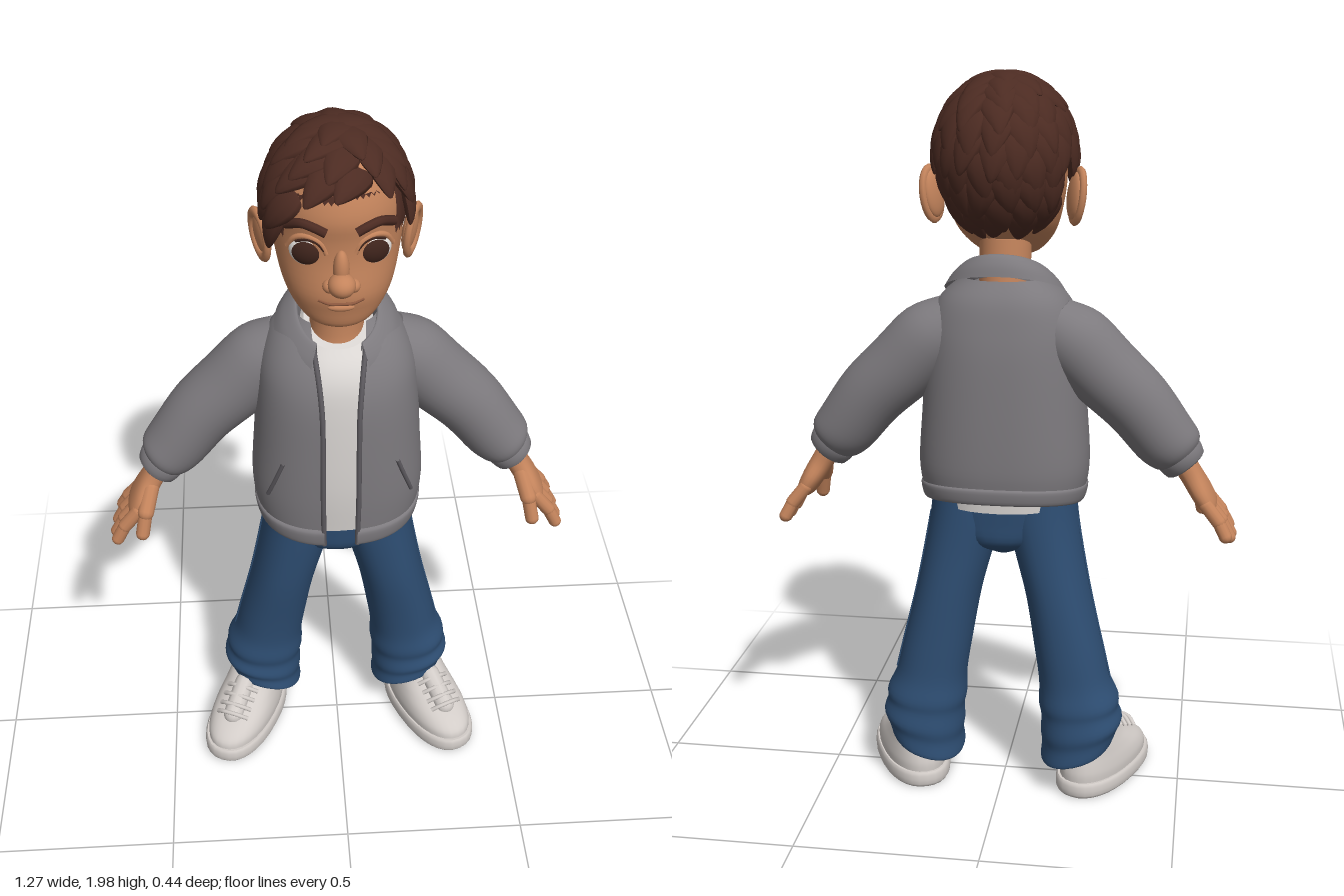
import * as THREE from 'three';
import { mergeGeometries, mergeVertices } from 'three/addons/utils/BufferGeometryUtils.js';

const V = (x, y, z) => new THREE.Vector3(x, y, z);
const paint = (name, color, side = THREE.FrontSide) => {
  const m = new THREE.MeshStandardMaterial({ color, side });
  m.name = name;
  return m;
};

// Smooth blend through cross-sections: [x, y, z, halfWidth, halfDepth, tilt, slope, gap]
function smooth(list, steps) {
  const s = list.map(r => Array.from({ length: 8 }, (_, i) => r[i] || 0));
  const out = [];
  for (let k = 0; k < s.length - 1; k++) {
    const p = s[Math.max(k - 1, 0)], a = s[k], b = s[k + 1], q = s[Math.min(k + 2, s.length - 1)];
    for (let j = 0; j < steps; j++) {
      const t = j / steps;
      out.push(a.map((v, i) => v + 0.5 * t * (b[i] - p[i] + t * (2 * p[i] - 5 * v + 4 * b[i] - q[i]
        + t * (3 * (v - b[i]) + q[i] - p[i])))));
    }
  }
  out.push(s[s.length - 1]);
  return out;
}

// Skin over cross-sections listed bottom to top; a gap leaves the front open
function loft(list, { n = 2, seg = 32, steps = 4 } = {}) {
  const secs = smooth(list, steps), open = secs[0][7] > 0, cols = open ? seg + 1 : seg;
  const pos = [], idx = [];
  const ring = ([x, y, z, a, b, tilt, slope, gap]) => {
    const g = open ? Math.asin(Math.min(0.95, Math.pow(gap / a, n / 2))) : 0;
    for (let j = 0; j < cols; j++) {
      const th = g + (j / seg) * (2 * Math.PI - 2 * g), s = Math.sin(th), c = Math.cos(th);
      const u = a * Math.sign(s) * Math.pow(Math.abs(s), 2 / n);
      const w = b * Math.sign(c) * Math.pow(Math.abs(c), 2 / n);
      pos.push(x + u * Math.cos(tilt), y + u * Math.sin(tilt) + slope * c, z + w);
    }
  };
  secs.forEach(ring);
  for (let k = 0; k < secs.length - 1; k++) for (let j = 0; j < seg; j++) {
    const a = k * cols + j, b = k * cols + (j + 1) % cols;
    idx.push(a, b, b + cols, a, b + cols, a + cols);
  }
  if (!open) [secs[0], secs[secs.length - 1]].forEach((s, top) => {
    const base = pos.length / 3;
    ring(s);
    pos.push(s[0], s[1], s[2]);
    for (let j = 0; j < seg; j++) {
      const a = base + j, b = base + (j + 1) % seg;
      top ? idx.push(a, b, base + seg) : idx.push(b, a, base + seg);
    }
  });
  const geo = new THREE.BufferGeometry();
  geo.setAttribute('position', new THREE.Float32BufferAttribute(pos, 3));
  geo.setIndex(idx);
  geo.computeVertexNormals();
  return geo;
}

const tube = (pts, r, seg = 16) =>
  new THREE.TubeGeometry(new THREE.CatmullRomCurve3(pts.map(p => V(...p))), seg, r, 8);
const ball = (x, y, z, rx, ry, rz) => new THREE.SphereGeometry(1, 24, 16).scale(rx, ry, rz).translate(x, y, z);
function capsule(p, q, r) {
  const a = V(...p), d = V(...q).sub(a);
  return new THREE.CapsuleGeometry(r, d.length(), 6, 12)
    .applyQuaternion(new THREE.Quaternion().setFromUnitVectors(V(0, 1, 0), d.clone().normalize()))
    .translate(...a.addScaledVector(d, 0.5).toArray());
}
function mirror(geo) {
  const g = geo.index ? geo.clone() : mergeVertices(geo);
  g.scale(-1, 1, 1);
  const i = g.index.array;
  for (let k = 0; k < i.length; k += 3) [i[k], i[k + 1]] = [i[k + 1], i[k]];
  return g;
}

// Hair: a cap with overlapping pointed locks
const HAIR_Y = 1.765, HAIR_Z = -0.01;
function hairline(phi) {
  const d = Math.abs(phi) * 180 / Math.PI;
  if (d < 52) return phi > 0 ? 1.87 : 1.86;
  if (d < 88) return 1.75;
  return d < 108 ? 1.775 : 1.595;
}
function hairGeometry() {
  const cap = new THREE.SphereGeometry(1, 64, 24), p = cap.attributes.position, uv = cap.attributes.uv;
  for (let i = 0; i < p.count; i++) {
    const a = uv.getX(i) * 2 * Math.PI, x = -Math.cos(a), z = Math.sin(a);
    const limit = Math.acos((hairline(Math.atan2(x, z)) - 0.02 - HAIR_Y) / 0.2);
    const t = (1 - uv.getY(i)) * limit;
    p.setXYZ(i, 0.17 * x * Math.sin(t), HAIR_Y + 0.2 * Math.cos(t), HAIR_Z + 0.187 * z * Math.sin(t));
  }
  cap.computeVertexNormals();
  const lock = new THREE.SphereGeometry(1, 10, 10), q = lock.attributes.position;
  for (let i = 0; i < q.count; i++) {
    const x = q.getX(i), y = q.getY(i), z = q.getZ(i);
    q.setXYZ(i, x * (0.8 + 0.4 * y) * 0.052, y * 0.072, z * (0.85 + 0.2 * y) * 0.02 - 0.01 * y * y - 0.007 * y);
  }
  lock.computeVertexNormals();
  let seed = 7;
  const rnd = () => (seed = (seed * 16807) % 2147483647) / 2147483647 - 0.5;
  const parts = [cap];
  for (let row = 0; row < 10; row++) {
    const t0 = 0.16 + row * 0.25, count = Math.max(4, Math.round(17 * Math.sin(t0)));
    for (let k = 0; k < count; k++) {
      let phi = (k + (row % 2) / 2 + rnd() * 0.3) / count * 2 * Math.PI;
      if (phi > Math.PI) phi -= 2 * Math.PI;
      const t = t0 + rnd() * 0.08, s = Math.sin(t), c = Math.cos(t), sp = Math.sin(phi), cp = Math.cos(phi);
      const at = V(0.176 * s * sp, HAIR_Y + 0.203 * c, HAIR_Z + 0.193 * s * cp);
      if (at.y < hairline(phi)) continue;
      const nrm = V(s * sp / 0.176, c / 0.203, s * cp / 0.193).normalize();
      const front = Math.max(0, cp) * s;
      const up = V(-0.176 * c * sp, 0.203 * s, -0.193 * c * cp).normalize();
      up.applyAxisAngle(nrm, -0.75 * front + rnd() * 0.5);
      // the fringe stands away from the forehead
      up.addScaledVector(nrm, -0.22 * front - 0.05 + rnd() * 0.12).normalize();
      const side = up.clone().cross(nrm).normalize();
      const m = new THREE.Matrix4().makeBasis(side, up, side.clone().cross(up)).setPosition(at);
      parts.push(lock.clone().applyMatrix4(m));
    }
  }
  return mergeGeometries(parts);
}

export function createModel() {
  const root = new THREE.Group();
  root.name = 'boy';
  const skin = paint('skin', 0xc4845c), hair = paint('hair brown', 0x4c2b22);
  const grey = paint('jacket grey', 0x7d7a7e, THREE.DoubleSide), trim = paint('trim grey', 0x5e5b60);
  const white = paint('shirt white', 0xd9d5d2), denim = paint('denim blue', 0x2e4e73);
  const shoe = paint('shoe white', 0xd2ccc8), eyeWhite = paint('eye white', 0xe6e2de);
  const iris = paint('iris brown', 0x3f241c), lip = paint('lip brown', 0x8f5a40);
  const add = (name, geo, mat) => {
    const m = new THREE.Mesh(geo, mat);
    m.name = name;
    root.add(m);
  };
  const pair = (name, geo, mat) => {
    add('left ' + name, geo, mat);
    add('right ' + name, mirror(geo), mat);
  };

  // Head and neck
  add('head', loft([[0, 1.495, .1, .035, .035], [0, 1.51, .092, .078, .062], [0, 1.55, .06, .116, .105],
    [0, 1.6, .03, .14, .145], [0, 1.68, 0, .158, .165], [0, 1.74, -.005, .162, .17], [0, 1.8, -.005, .162, .176],
    [0, 1.87, -.01, .148, .16], [0, 1.93, -.01, .11, .12], [0, 1.96, -.01, .03, .03]], { seg: 48 }), skin);
  add('neck', loft([[0, 1.36, -.015, .085, .095], [0, 1.42, -.01, .07, .075], [0, 1.56, 0, .068, .07]]), skin);
  add('nose', mergeGeometries([ball(0, 1.642, .184, .034, .03, .036), ball(0, 1.675, .165, .02, .05, .024),
    ball(.028, 1.634, .172, .018, .017, .02), ball(-.028, 1.634, .172, .018, .017, .02)]), skin);
  add('mouth', tube([[-.055, 1.59, .161], [-.028, 1.583, .171], [0, 1.584, .175], [.028, 1.583, .171],
    [.055, 1.59, .161]], .004), lip);
  add('lower lip', ball(0, 1.57, .164, .034, .011, .012), skin);
  add('hair', hairGeometry(), hair);

  // Ears
  const ear = mergeGeometries([ball(0, 0, 0, .016, .062, .038),
    new THREE.TorusGeometry(.04, .01, 8, 24).rotateY(Math.PI / 2).scale(1, 1.55, .95).translate(.008, 0, 0)]);
  pair('ear', ear.rotateY(-.45).rotateZ(-.12).translate(.183, 1.67, -.03), skin);

  // Eyes: ball, iris cap, lid and brow
  const eyePart = (g, k) => g.rotateX(Math.PI / 2).scale(.045 * k, .04 * k, .028 * k)
    .rotateY(.38).translate(.08, 1.71, .126);
  const capOf = angle => new THREE.SphereGeometry(1, 32, 10, 0, Math.PI * 2, 0, angle);
  pair('eyeball', eyePart(new THREE.SphereGeometry(1, 24, 16), 1), eyeWhite);
  pair('iris', eyePart(capOf(.82).rotateZ(.12), 1.03), iris);
  pair('eyelid', tube([[.034, 1.712, .155], [.05, 1.742, .154], [.08, 1.754, .144], [.108, 1.744, .128],
    [.125, 1.715, .112]], .0075), skin);
  pair('lash line', tube([[.04, 1.722, .158], [.055, 1.741, .157], [.08, 1.748, .149], [.106, 1.738, .134]], .004), iris);
  pair('eyebrow', tube([[.036, 1.773, .168], [.06, 1.784, .162], [.09, 1.79, .147], [.128, 1.77, .108]], .012), hair);

  // Shirt
  add('shirt', loft([[0, .84, -.01, .175, .15], [0, 1, -.005, .19, .16], [0, 1.25, -.005, .18, .158],
    [0, 1.36, -.01, .14, .14, 0, -.015], [0, 1.425, -.01, .085, .095, 0, -.03]], { n: 2.3 }), white);

  // Jacket body, open at the front
  const body = [[0, .85, -.01, .212, .178, 0, -.03, .045], [0, .9, -.01, .226, .183, 0, -.015, .046],
    [0, .97, -.01, .231, .188, 0, 0, .047], [0, 1.1, -.008, .222, .188, 0, 0, .047],
    [0, 1.25, -.006, .212, .182, 0, 0, .048], [0, 1.34, -.01, .2, .165, 0, 0, .055],
    [0, 1.41, -.02, .165, .137, 0, 0, .065], [0, 1.46, -.025, .105, .1, 0, 0, .07]];
  add('jacket body', loft(body, { n: 2.4, seg: 56 }), grey);
  add('jacket hem', loft([[0, .842, -.01, .205, .175, 0, -.03, .044], [0, .85, -.01, .22, .186, 0, -.03, .044],
    [0, .885, -.01, .228, .19, 0, -.027, .045], [0, .895, -.01, .222, .18, 0, -.025, .046]],
  { n: 2.4, seg: 56 }), grey);
  const onJacket = (x, y, a, b, cz) => [x, y, cz + b * Math.pow(1 - Math.pow(x / a, 2.4), 1 / 2.4)];
  pair('zip edge', tube(body.slice(0, 7).map((s, i) =>
    onJacket(s[7], s[1] + (i ? s[6] : -.035), s[3], s[4], s[2])), .007, 32), trim);
  pair('pocket', tube([[.15, 1.085], [.165, 1.04], [.182, .99], [.192, .96]].map(p =>
    onJacket(p[0], p[1], .23, .19, -.009)), .006), trim);

  // Fold-over collar, higher at the back
  add('collar', loft([[0, 1.415, .0, .162, .152, 0, -.062, .075], [0, 1.445, 0, .142, .144, 0, -.06, .068],
    [0, 1.472, 0, .112, .128, 0, -.056, .058], [0, 1.468, 0, .1, .115, 0, -.056, .056],
    [0, 1.42, -.005, .095, .105, 0, -.05, .055]], { n: 2.1, seg: 48 }), grey);

  // Sleeves and cuffs
  pair('sleeve', loft([[.475, .985, -.03, .062, .066, .67], [.463, 1.003, -.034, .078, .08, .67],
    [.43, 1.04, -.04, .087, .088, .7], [.36, 1.13, -.047, .094, .095, .75], [.27, 1.215, -.05, .1, .1, .75],
    [.185, 1.3, -.05, .1, .1, .75], [.12, 1.35, -.045, .075, .08, .75]]), grey);
  pair('cuff', loft([[.494, .958, -.026, .048, .052, .67], [.491, .962, -.026, .06, .062, .67],
    [.474, .986, -.03, .066, .069, .67], [.468, .995, -.031, .06, .063, .67]], { steps: 2 }), grey);

  // Hands
  const hand = [loft([[.566, .832, -.012, .012, .05, .55], [.557, .848, -.012, .025, .07, .55],
    [.535, .885, -.014, .03, .07, .55], [.508, .93, -.02, .031, .047, .6], [.48, .975, -.025, .032, .04, .65]],
  { n: 2.3, seg: 24 })];
  hand[0].setAttribute('uv', new THREE.Float32BufferAttribute(hand[0].attributes.position.count * 2, 2));
  [-.07, -.031, .008, .046].forEach((z, i) => {
    const len = [.82, 1, 1.05, .95][i], tipZ = z * 1.2 - .004, s = .5 * len;
    const mid = [.555 + .072 * s, .853 - .085 * s, (z + tipZ) / 2];
    hand.push(capsule([.55, .86, z], mid, .019));
    hand.push(capsule(mid, [.555 + .06 * len, .853 - .088 * len, tipZ], .0175));
  });
  hand.push(capsule([.512, .915, .015], [.528, .865, .058], .023), capsule([.528, .865, .058], [.54, .805, .076], .019));
  pair('hand', mergeGeometries(hand), skin);

  // Jeans
  add('jeans hips', loft([[0, .695, -.015, .03, .05], [0, .735, -.015, .12, .11], [0, .8, -.013, .192, .122],
    [0, .89, -.012, .195, .13]], { n: 2.3 }), denim);
  pair('jeans leg', loft([[.212, .125, -.058, .098, .106, .28, .02], [.214, .13, -.058, .107, .116, .28, .02],
    [.222, .165, -.058, .11, .113, .24, .012], [.225, .195, -.058, .116, .118, .18, .006],
    [.22, .235, -.058, .109, .111, .12], [.216, .27, -.056, .112, .114, .08], [.203, .33, -.052, .099, .107, .05],
    [.186, .42, -.045, .096, .11], [.155, .57, -.03, .091, .119], [.125, .7, -.02, .095, .121],
    [.104, .8, -.015, .1, .122], [.098, .88, -.012, .098, .122]], { n: 2.2 }), denim);
  pair('side seam', tube([[.203, .8, -.03], [.221, .7, -.035], [.247, .57, -.04], [.283, .42, -.05],
    [.304, .33, -.055]], .003, 24), denim);

  // Shoes, turned outward
  const place = g => g.rotateY(.42).translate(.282, 0, .028);
  pair('shoe sole', place(loft([[0, 0, 0, .092, .188], [0, .01, 0, .099, .195], [0, .035, 0, .099, .195],
    [0, .045, 0, .094, .19]], { n: 2.3, steps: 2 })), shoe);
  pair('shoe upper', place(loft([[0, .04, 0, .09, .184], [0, .065, -.003, .091, .181], [0, .09, -.016, .087, .163],
    [0, .115, -.04, .08, .132], [0, .14, -.064, .073, .104], [0, .175, -.085, .064, .08]], { n: 2.2 })), shoe);
  pair('shoe tongue', place(capsule([0, .108, .095], [0, .155, .005], .03).scale(1, 1, 1)), shoe);
  [.03, .058, .086, .112].forEach((z, i) => {
    const y = .163 - .43 * (z - .015);
    pair('lace ' + (i + 1), place(tube([[-.048, y - .012, z - .012], [-.02, y + .006, z], [.02, y + .006, z],
      [.048, y - .012, z - .012]], .0065)), shoe);
  });
  return root;
}
